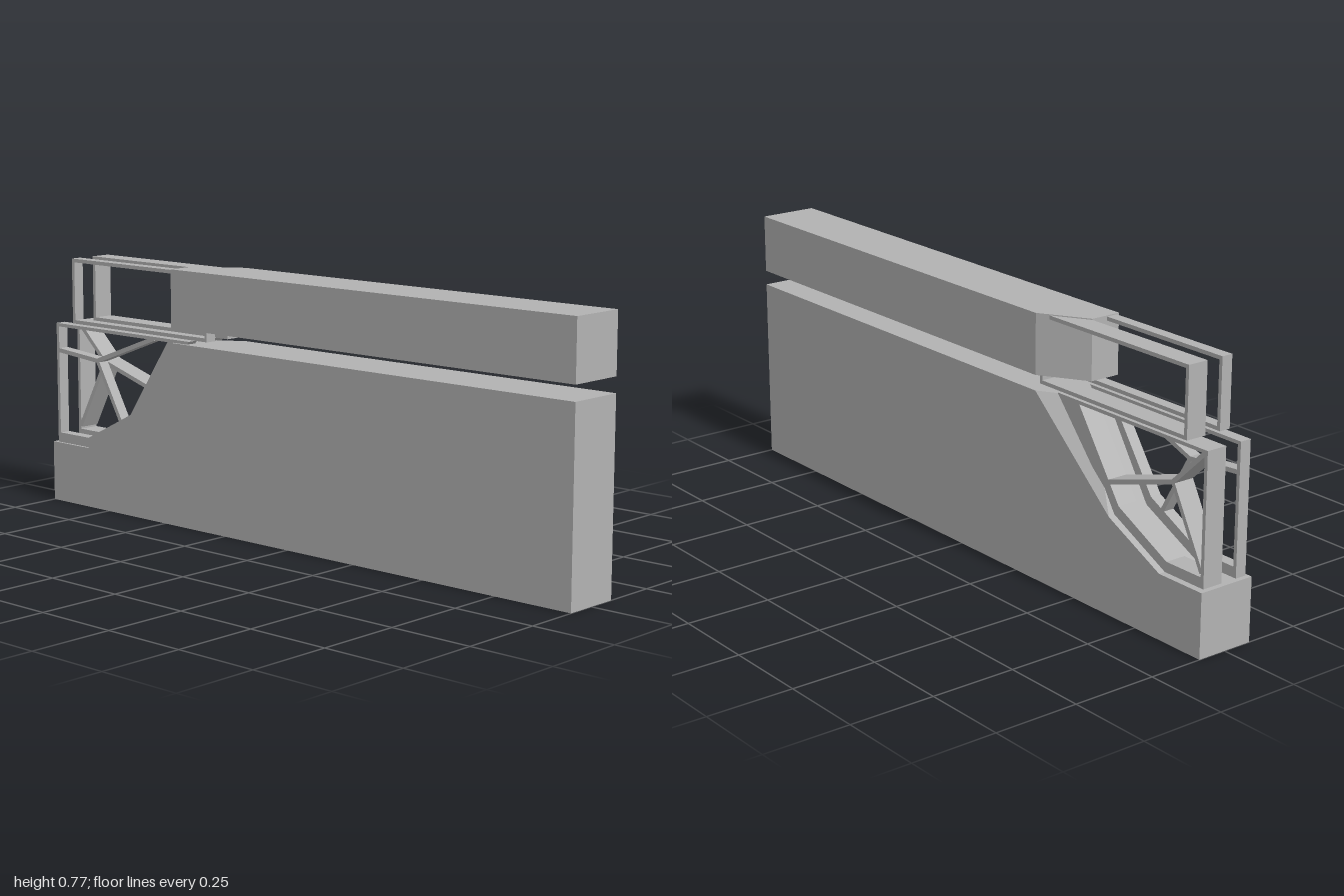
import * as THREE from 'three';

export function createModel() {
  const model = new THREE.Group();
  const grey = new THREE.MeshStandardMaterial({ color: 0xb2b2b2 });

  // Profiles are [u, y] with u running towards the back (u = -z), extruded along x
  const poly = (pts) => pts.map(([u, y]) => new THREE.Vector2(u, y));
  function slab(name, pts, x0, x1, hole, rule, parent = model) {
    const shape = new THREE.Shape(poly(pts));
    if (hole) shape.holes.push(new THREE.Path(poly(hole)));
    const geo = new THREE.ExtrudeGeometry(shape, { depth: x1 - x0, bevelEnabled: false });
    geo.rotateY(Math.PI / 2).translate(x0, 0, 0);
    if (rule) {
      const p = geo.attributes.position;
      for (let i = 0; i < p.count; i++) rule(p, i);
      geo.computeVertexNormals();
    }
    const mesh = new THREE.Mesh(geo, grey);
    mesh.name = name;
    parent.add(mesh);
    return mesh;
  }

  const W = 0.088, MID = 0.005, CUT = 0.465;
  // Draws the end of the right half forward at its outer side, giving the oblique cut
  const oblique = (p, i) => {
    if (p.getX(i) > 0.04 && Math.abs(p.getZ(i) + CUT) < 1e-4) p.setZ(i, -0.33);
  };

  // Lower wall with its stepped, hollowed back end
  const wall = [[-1, 0], [1, 0], [1, 0.185], [0.84, 0.185], [0.64, 0.28], [CUT, 0.55], [-1, 0.55]];
  slab('lowerWallLeft', wall, MID, W, null, oblique);
  slab('lowerWallRight', wall, -W, MID);

  // Upper beam
  const beam = [[-1, 0.594], [CUT, 0.594], [CUT, 0.768], [-1, 0.768]];
  slab('upperBeamLeft', beam, MID, W, null, oblique);
  slab('upperBeamRight', beam, -W, MID);

  // Rectangular frames and braced frames, one pair on each side
  const frameOuter = [[0.325, 0.565], [0.908, 0.565], [0.908, 0.765], [0.325, 0.765]];
  const frameInner = [[0.335, 0.576], [0.897, 0.576], [0.897, 0.754], [0.335, 0.754]];
  const braceOuter = [[0.4, 0.559], [0.64, 0.282], [0.84, 0.185], [0.985, 0.185], [0.985, 0.559]];
  const braceInner = [[0.49, 0.549], [0.655, 0.31], [0.845, 0.215], [0.974, 0.215], [0.974, 0.549]];

  function strut(a, b, x0, x1, parent) {
    const du = b[0] - a[0], dy = b[1] - a[1], k = 0.0065 / Math.hypot(du, dy);
    const nu = -dy * k, ny = du * k;
    slab('strut', [[a[0] - nu, a[1] - ny], [b[0] - nu, b[1] - ny],
      [b[0] + nu, b[1] + ny], [a[0] + nu, a[1] + ny]], x0, x1, null, null, parent);
  }

  const sides = [
    { side: 'left', x0: 0.005, x1: 0.068, node: [0.86, 0.44],
      ends: [[0.978, 0.553], [0.975, 0.225], [0.61, 0.365]] },
    { side: 'right', x0: -0.08, x1: -0.046, node: [0.8, 0.46],
      ends: [[0.55, 0.553], [0.978, 0.475], [0.7, 0.285]] },
  ];
  for (const { side, x0, x1, node, ends } of sides) {
    slab(side + 'UpperFrame', frameOuter, x0, x1, frameInner);
    const brace = new THREE.Group();
    brace.name = side + 'BracedFrame';
    model.add(brace);
    slab('rim', braceOuter, x0, x1, braceInner, null, brace);
    for (const end of ends) strut(node, end, x0, x1, brace);
  }

  return model;
}
